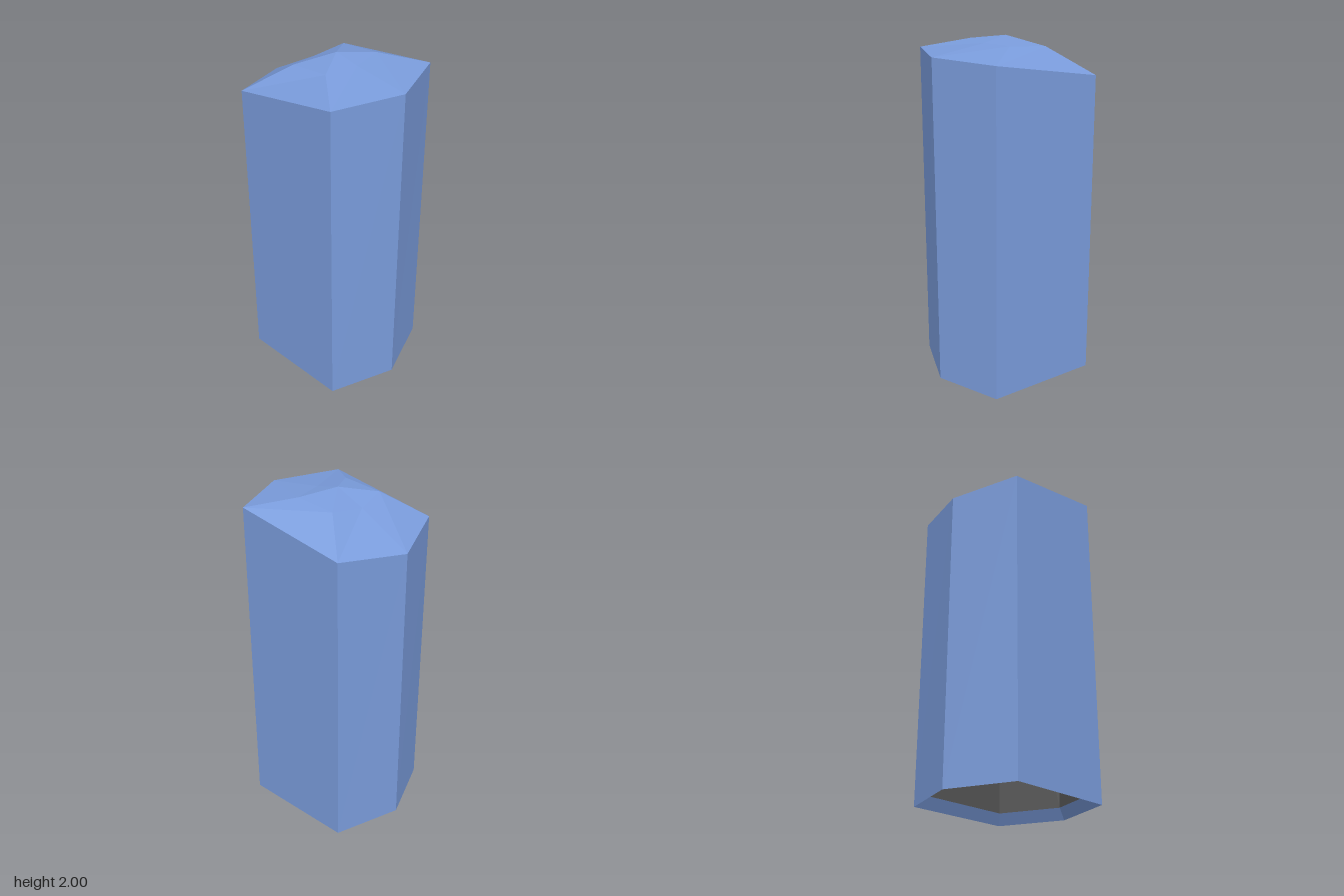
import * as THREE from 'three';

// Join hexagonal rings into flat-shaded facets; flip turns them inward.
function loft(name, rings, color, flip = false) {
  const pos = [];
  const tri = (a, b, c) => pos.push(...a, ...(flip ? c : b), ...(flip ? b : c));
  for (let r = 0; r < rings.length - 1; r++) {
    const lo = rings[r], hi = rings[r + 1];
    for (let i = 0; i < 6; i++) {
      const j = (i + 1) % 6;
      if (hi.length === 1) {
        tri(lo[i], hi[0], lo[j]);
      } else {
        tri(lo[i], hi[i], lo[j]);
        tri(lo[j], hi[i], hi[j]);
      }
    }
  }
  const geometry = new THREE.BufferGeometry();
  geometry.setAttribute('position', new THREE.Float32BufferAttribute(pos, 3));
  geometry.computeVertexNormals();
  const mesh = new THREE.Mesh(geometry, new THREE.MeshStandardMaterial({ color, flatShading: true }));
  mesh.name = name;
  return mesh;
}

// Hexagon mirrored in z, from four [x, y, z] corners running right to left.
function hexagon(corners) {
  const mirrored = [corners[2], corners[1]].map(([x, y, z]) => [x, y, -z]);
  return [...corners, ...mirrored];
}

export function createModel() {
  const group = new THREE.Group();
  const blue = 0x7a9cdc, dark = 0x555555;

  const base = hexagon([[0.478, 0, 0], [0.333, 0, 0.385], [-0.333, 0, 0.385], [-0.478, 0, 0]]);
  const shoulder = hexagon([[0.474, 1.92, 0], [0.326, 1.915, 0.385], [-0.33, 1.8, 0.385], [-0.471, 1.755, 0]]);
  const facet = hexagon([[0.145, 1.967, 0], [0.108, 1.97, 0.193], [-0.13, 1.95, 0.193], [-0.168, 1.925, 0]]);
  const apex = [[0, 2, 0]];

  // Column walls and slanted, faceted crown
  group.add(loft('columnWalls', [base, shoulder], blue));
  group.add(loft('crown', [shoulder, facet, apex], blue));

  // Bevelled rim around the open underside
  const inset = (ring, dy) => ring.map(([x, y, z]) => [x * 0.92, y + dy, z * 0.92]);
  const rim = inset(base, 0.067);
  group.add(loft('bottomRim', [base, rim], blue, true));

  // Dark lining of the hollow interior
  const lining = [rim, ...[shoulder, facet, apex].map((ring) => inset(ring, -0.067))];
  group.add(loft('innerLining', lining, dark, true));

  return group;
}
